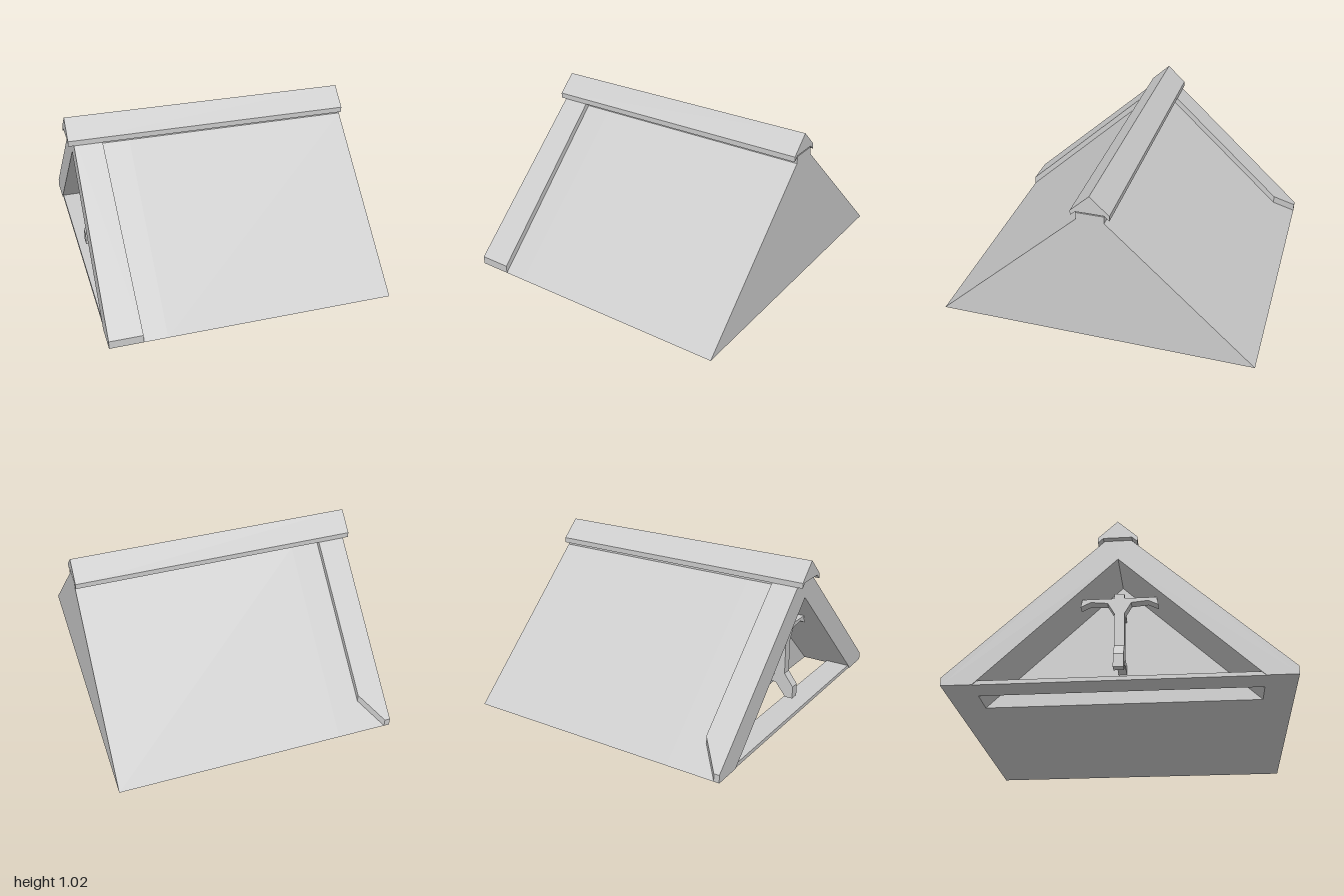
import * as THREE from 'three';
import { ConvexGeometry } from 'three/addons/geometries/ConvexGeometry.js';

const material = new THREE.MeshStandardMaterial({ color: 0xcccccc, flatShading: true });

function addMesh(group, name, geometry) {
  const mesh = new THREE.Mesh(geometry, material);
  mesh.name = name;
  group.add(mesh);
  return mesh;
}

// Extrude a mirrored (z, y) outline along x from x0 to x1
function alongX(points, x0, x1) {
  const shape = new THREE.Shape(points.map(([z, y]) => new THREE.Vector2(-z, y)));
  const geometry = new THREE.ExtrudeGeometry(shape, { depth: x1 - x0, bevelEnabled: false });
  return geometry.rotateY(Math.PI / 2).translate(x0, 0, 0);
}

// Complete a half outline with its mirror image
const mirrored = (half) => [...half, ...half.slice().reverse().map(([z, y]) => [-z, y])];

// Sloped edge board; each entry is [z, y, inner x]
function bargeBoard(points) {
  return new ConvexGeometry(points.flatMap(([z, y, x]) => [
    new THREE.Vector3(-0.87, y, z), new THREE.Vector3(x, y, z),
  ]));
}

export function createModel() {
  const model = new THREE.Group();
  const wallX = -0.52, endX = 0.905;

  // Solid gabled body, closed by a gable wall at each end
  addMesh(model, 'roofBody', alongX(mirrored([[1, 0], [0.085, 0.855], [0.085, 0.9]]), wallX, endX));

  // Hollow overhang in front of the recessed gable wall
  addMesh(model, 'roofOverhang', alongX([
    [1, 0], [0.085, 0.855], [0.085, 0.9], [-0.085, 0.9], [-0.085, 0.855], [-1, 0],
    [-0.82, 0], [0, 0.78], [0.82, 0],
  ], -0.865, wallX));

  // Ridge cap with overhanging lips
  addMesh(model, 'ridgeCap', alongX([
    [0, 1.02], [0.117, 0.91], [0.117, 0.877], [0.085, 0.906],
    [-0.085, 0.906], [-0.117, 0.877], [-0.117, 0.91],
  ], -0.905, endX));

  // Raised boards along the open gable; the back one has a clipped lower corner
  addMesh(model, 'frontBargeBoard', bargeBoard([
    [1, 0, -0.665], [1, 0.05, -0.665], [0.82, 0, -0.67], [0, 0.98, -0.695], [0, 0.78, -0.695],
  ]));
  addMesh(model, 'backBargeBoard', bargeBoard([
    [-1, 0, -0.835], [-1, 0.05, -0.835], [-0.86, 0.18, -0.7], [-0.86, 0, -0.7],
    [-0.82, 0, -0.7], [0, 0.98, -0.7], [0, 0.78, -0.7],
  ]));

  // Tie bar across the foot of the open gable
  addMesh(model, 'tieBar', new THREE.BoxGeometry(0.16, 0.025, 1.7).translate(-0.785, 0.0125, 0));

  // Bracket in the opening: post with flared foot and struts back to the wall
  const bracket = new THREE.Group();
  bracket.name = 'gableBracket';
  const post = new THREE.Shape([
    [-0.7, 0.6], [-0.77, 0.6], [-0.77, 0.26], [-0.83, 0.18], [-0.83, 0.1],
    [-0.78, 0.1], [-0.7, 0.2],
  ].map(([x, y]) => new THREE.Vector2(x, y)));
  addMesh(bracket, 'post', new THREE.ExtrudeGeometry(post, { depth: 0.06, bevelEnabled: false }).translate(0, 0, -0.03));
  for (const y of [0.21, 0.56]) {
    addMesh(bracket, 'strut', new THREE.BoxGeometry(0.22, 0.05, 0.05).translate(-0.62, y, 0));
  }
  // Collar with arched underside
  addMesh(bracket, 'collar', alongX(mirrored([
    [0.22, 0.57], [0.23, 0.52], [0.17, 0.55], [0.07, 0.54], [0.03, 0.47],
  ].reverse()).concat([[-0.2, 0.6], [0.2, 0.6]].reverse()).filter(([, y]) => y < 0.59), -0.77, -0.71));
  model.add(bracket);
  return model;
}
